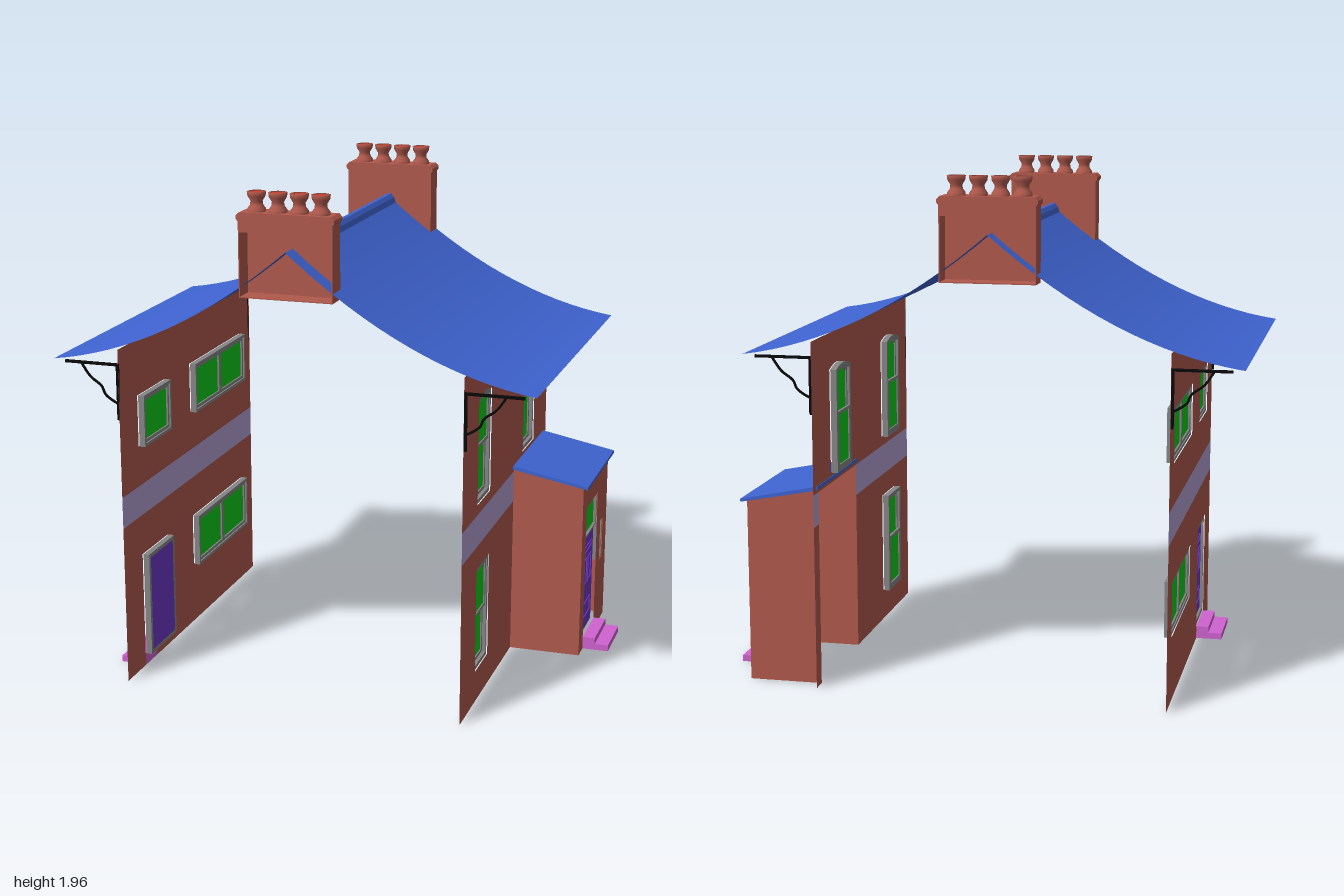
import * as THREE from 'three';

const mat = (color) => new THREE.MeshStandardMaterial({ color, side: THREE.DoubleSide });
const M = {
  brick: mat(0xb0594c), roof: mat(0x3f64d2), band: mat(0xb3a0d2), frame: mat(0x858585),
  glass: mat(0x0fcb18), door: mat(0x6c38c8), step: mat(0xcf62d0), iron: mat(0x080808), potTop: mat(0xc8402f),
};
const MID = -0.0625;               // ridge position in x
const roofY = (d) => 1.75 - 0.85 * d + 0.38 * d * d; // sagging roof curve, d = distance from ridge

function add(parent, name, geo, material, x = 0, y = 0, z = 0) {
  const m = new THREE.Mesh(geo, material);
  m.name = name;
  m.position.set(x, y, z);
  parent.add(m);
  return m;
}

// Box given by its extents
function box(parent, name, material, x0, x1, y0, y1, z0, z1) {
  const g = new THREE.BoxGeometry(Math.abs(x1 - x0), y1 - y0, Math.abs(z1 - z0));
  return add(parent, name, g, material, (x0 + x1) / 2, (y0 + y1) / 2, (z0 + z1) / 2);
}

// Rectangle outline, optionally with a shallow arched top
function trace(path, [u0, u1, y0, y1, arch = 0]) {
  path.moveTo(u0, y0);
  path.lineTo(u1, y0);
  path.lineTo(u1, y1 - arch);
  if (arch) path.quadraticCurveTo((u0 + u1) / 2, y1 + arch, u0, y1 - arch);
  else path.lineTo(u0, y1);
  path.closePath();
  return path;
}

function sheet(rect, holes = []) {
  const s = trace(new THREE.Shape(), rect);
  holes.forEach((h) => s.holes.push(trace(new THREE.Path(), h)));
  return s;
}

// Facade space: local x = world z, local z = minus world x
function facade(parent, name, x) {
  const g = new THREE.Group();
  g.name = name;
  g.rotation.y = -Math.PI / 2;
  g.position.x = x;
  parent.add(g);
  return g;
}

const panel = (f, name, material, rect, holes) =>
  add(f, name, new THREE.ShapeGeometry(sheet(rect, holes), 8), material);

// Rectangular ring, d0..d1 deep behind the wall; s is the inward direction
function ring(f, name, rect, border, s, d0, d1) {
  const [u0, u1, y0, y1, arch = 0] = rect;
  const inner = [u0 + border, u1 - border, y0 + border, y1 - border, arch];
  const g = new THREE.ExtrudeGeometry(sheet(rect, [inner]), { depth: d1 - d0, bevelEnabled: false, curveSegments: 8 });
  add(f, name, g, M.frame, 0, 0, s > 0 ? d0 : -d1);
  return inner;
}

const glass = (f, r, s, d) => add(f, 'glass', new THREE.ShapeGeometry(sheet(r), 8), M.glass, 0, 0, s * d);

// Two-light sash window
function sashWindow(f, rect, s) {
  const [u0, u1, y0, y1, arch] = ring(f, 'windowFrame', rect, 0.015, s, 0.004, 0.028);
  const mid = (y0 + y1) / 2 + 0.015;
  const up = ring(f, 'upperSash', [u0, u1, mid - 0.012, y1, arch], 0.012, s, 0.008, 0.018);
  const low = ring(f, 'lowerSash', [u0, u1, y0, mid + 0.012], 0.012, s, 0.018, 0.028);
  glass(f, up, s, 0.013);
  glass(f, low, s, 0.023);
}

// Casement window with n lights side by side
function casement(f, rect, s, n) {
  const [u0, u1, y0, y1] = ring(f, 'windowFrame', rect, 0.012, s, 0.004, 0.028);
  const w = (u1 - u0) / n;
  for (let i = 0; i < n; i++) {
    glass(f, ring(f, 'casement', [u0 + i * w, u0 + (i + 1) * w, y0, y1], 0.012, s, 0.008, 0.022), s, 0.015);
  }
}

// Panelled door with raised mouldings on its outer side
function door(f, [u0, u1, y0, y1], s) {
  box(f, 'door', M.door, u0, u1, y0, y1, s * 0.014, s * 0.028);
  const w = u1 - u0, h = y1 - y0;
  const fields = [[0.17, 0.83, 0.79, 0.86], [0.17, 0.45, 0.47, 0.73], [0.55, 0.83, 0.47, 0.73], [0.17, 0.83, 0.12, 0.28]];
  fields.forEach(([a, b, c, d]) => {
    const r = [u0 + a * w, u0 + b * w, y0 + c * h, y0 + d * h];
    const inner = [r[0] + 0.008, r[1] - 0.008, r[2] + 0.008, r[3] - 0.008];
    const g = new THREE.ExtrudeGeometry(sheet(r, [inner]), { depth: 0.005, bevelEnabled: false });
    add(f, 'doorMoulding', g, M.door, 0, 0, s > 0 ? 0.01 : -0.015);
  });
}

// Two steps going outwards (dir) from a wall at x
function steps(parent, x, dir, z0, z1) {
  box(parent, 'upperStep', M.step, x, x + dir * 0.05, 0, 0.05, z0, z1);
  box(parent, 'lowerStep', M.step, x + dir * 0.05, x + dir * 0.105, 0, 0.025, z0, z1);
}

// Iron gutter bracket with a wavy brace
function bracket(parent, x, dir, z) {
  const g = new THREE.Group();
  g.name = 'eavesBracket';
  g.position.set(x, 0, z);
  parent.add(g);
  box(g, 'bracketPost', M.iron, 0, dir * 0.01, 1.065, 1.285, -0.005, 0.005);
  box(g, 'bracketArm', M.iron, 0, dir * 0.22, 1.275, 1.285, -0.005, 0.005);
  const pts = [[0.155, 1.28], [0.118, 1.228], [0.072, 1.192], [0.058, 1.162], [0.022, 1.136], [0.004, 1.128]];
  const curve = new THREE.CatmullRomCurve3(pts.map(([a, b]) => new THREE.Vector3(dir * a, b, 0)));
  add(g, 'bracketBrace', new THREE.TubeGeometry(curve, 24, 0.005, 6), M.iron);
}

// Hollow stack, open on its outer end, with four pots
function chimney(parent, s) {
  const g = new THREE.Group();
  g.name = 'chimney';
  parent.add(g);
  const x0 = MID - 0.18, x1 = MID + 0.18, zi = s * 0.597, zo = s * 0.685, t = 0.004;
  box(g, 'stackInnerWall', M.brick, x0, x1, 1.575, 1.86, zi, zi + s * t);
  box(g, 'stackSide', M.brick, x0, x0 + t, 1.575, 1.86, zi, zo);
  box(g, 'stackSide', M.brick, x1 - t, x1, 1.575, 1.86, zi, zo);
  box(g, 'stackBase', M.brick, x0, x1, 1.573, 1.577, zi, zo);
  box(g, 'stackLintel', M.brick, x0, x1, 1.815, 1.86, zi, zo);
  const cap = new THREE.Shape();
  [[-0.18, 1.855], [0.18, 1.855], [0.187, 1.864], [0.187, 1.876], [0.175, 1.888], [-0.175, 1.888], [-0.187, 1.876], [-0.187, 1.864]]
    .forEach(([a, b], i) => (i ? cap.lineTo(a, b) : cap.moveTo(a, b)));
  const capGeo = new THREE.ExtrudeGeometry(cap, { depth: 0.096, bevelEnabled: false });
  add(g, 'stackCap', capGeo, M.brick, MID, 0, s > 0 ? 0.591 : -0.687);
  const profile = [[0.034, 0], [0.034, 0.012], [0.024, 0.026], [0.022, 0.04], [0.033, 0.058], [0.035, 0.074], [0.028, 0.074]];
  for (let i = 0; i < 4; i++) {
    const x = MID + (i - 1.5) * 0.082;
    const pot = new THREE.LatheGeometry(profile.map(([a, b]) => new THREE.Vector2(a, b)), 16);
    add(g, 'chimneyPot', pot, M.brick, x, 1.886, s * 0.64);
    const disc = add(g, 'potOpening', new THREE.CircleGeometry(0.029, 16), M.potTop, x, 1.957, s * 0.64);
    disc.rotation.x = -Math.PI / 2;
  }
}

export function createModel() {
  const house = new THREE.Group();
  house.name = 'house';

  // Roof slopes, ridge and chimneys
  for (const s of [-1, 1]) {
    const geo = new THREE.PlaneGeometry(0.9375, 1.37, 16, 1);
    geo.rotateX(-Math.PI / 2);
    const p = geo.attributes.position;
    for (let i = 0; i < p.count; i++) {
      const d = s * p.getX(i) + 0.46875;
      p.setXYZ(i, MID + s * d, roofY(d), p.getZ(i));
    }
    geo.computeVertexNormals();
    add(house, 'roofSlope', geo, M.roof);
    chimney(house, s);
  }
  const ridge = new THREE.Shape();
  [[-0.028, 1.726], [0.028, 1.726], [0.02, 1.748], [0.008, 1.764], [-0.008, 1.764], [-0.02, 1.748]]
    .forEach(([a, b], i) => (i ? ridge.lineTo(a, b) : ridge.moveTo(a, b)));
  add(house, 'ridge', new THREE.ExtrudeGeometry(ridge, { depth: 1.2, bevelEnabled: false }), M.roof, MID, 0, -0.6);

  // Street wall, interrupted by the porch
  const L = facade(house, 'streetWall', 0.61);
  const low = [[0.275, 0.465, 0.125, 0.54]];
  const high = [[0.275, 0.465, 0.795, 1.215, 0.016], [-0.45, -0.26, 0.795, 1.215, 0.016]];
  panel(L, 'lowerWall', M.brick, [-0.112, 0.685, 0, 0.63], low);
  panel(L, 'lowerWallStrip', M.brick, [-0.678, -0.615, 0, 0.63]);
  panel(L, 'stringCourse', M.band, [-0.112, 0.685, 0.63, 0.755]);
  panel(L, 'stringCourseStrip', M.band, [-0.678, -0.615, 0.63, 0.755]);
  panel(L, 'upperWall', M.brick, [-0.678, 0.685, 0.755, 1.34], high);
  [...low, ...high].forEach((r) => sashWindow(L, r, 1));

  // Yard wall
  const R = facade(house, 'yardWall', -0.735);
  const doorway = [0.265, 0.515, 0.05, 0.47], wide = [-0.56, 0, 0.25, 0.465];
  const upper = [[-0.56, 0, 0.915, 1.12], [0.255, 0.52, 0.915, 1.12]];
  panel(R, 'lowerWall', M.brick, [-0.685, 0.685, 0, 0.63], [doorway, wide]);
  panel(R, 'stringCourse', M.band, [-0.685, 0.685, 0.63, 0.755]);
  panel(R, 'upperWall', M.brick, [-0.685, 0.685, 0.755, 1.34], upper);
  casement(R, wide, -1, 2);
  casement(R, upper[0], -1, 2);
  casement(R, upper[1], -1, 1);
  door(R, ring(R, 'doorFrame', doorway, 0.016, -1, 0.004, 0.028), -1);
  steps(house, -0.735, -1, 0.27, 0.51);

  // Porch
  const P = facade(house, 'porchFront', 0.895);
  const opening = [-0.412, -0.19, 0.05, 0.603], slit = [-0.542, -0.488, 0.28, 0.455];
  panel(P, 'porchFrontWall', M.brick, [-0.615, -0.112, 0, 0.715], [opening, slit]);
  door(P, [-0.41, -0.192, 0.05, 0.472], 1);
  glass(P, ring(P, 'fanlightFrame', [-0.412, -0.19, 0.468, 0.603], 0.007, 1, 0.004, 0.028), 1, 0.015);
  glass(P, ring(P, 'slitFrame', slit, 0.006, 1, 0.004, 0.028), 1, 0.015);
  const side = new THREE.Shape();
  [[0.61, 0], [0.895, 0], [0.895, 0.713], [0.61, 0.768]].forEach(([a, b], i) => (i ? side.lineTo(a, b) : side.moveTo(a, b)));
  for (const z of [-0.615, -0.112]) add(house, 'porchSideWall', new THREE.ShapeGeometry(side), M.brick, 0, 0, z);
  const slab = new THREE.Shape();
  [[0.607, 0.766], [0.915, 0.708], [0.915, 0.72], [0.607, 0.781]].forEach(([a, b], i) => (i ? slab.lineTo(a, b) : slab.moveTo(a, b)));
  add(house, 'porchRoof', new THREE.ExtrudeGeometry(slab, { depth: 0.537, bevelEnabled: false }), M.roof, 0, 0, -0.636);
  steps(house, 0.895, 1, -0.415, -0.19);

  // Gutter brackets at the four corners
  for (const z of [-0.672, 0.678]) {
    bracket(house, 0.61, 1, z);
    bracket(house, -0.735, -1, z);
  }
  return house;
}
